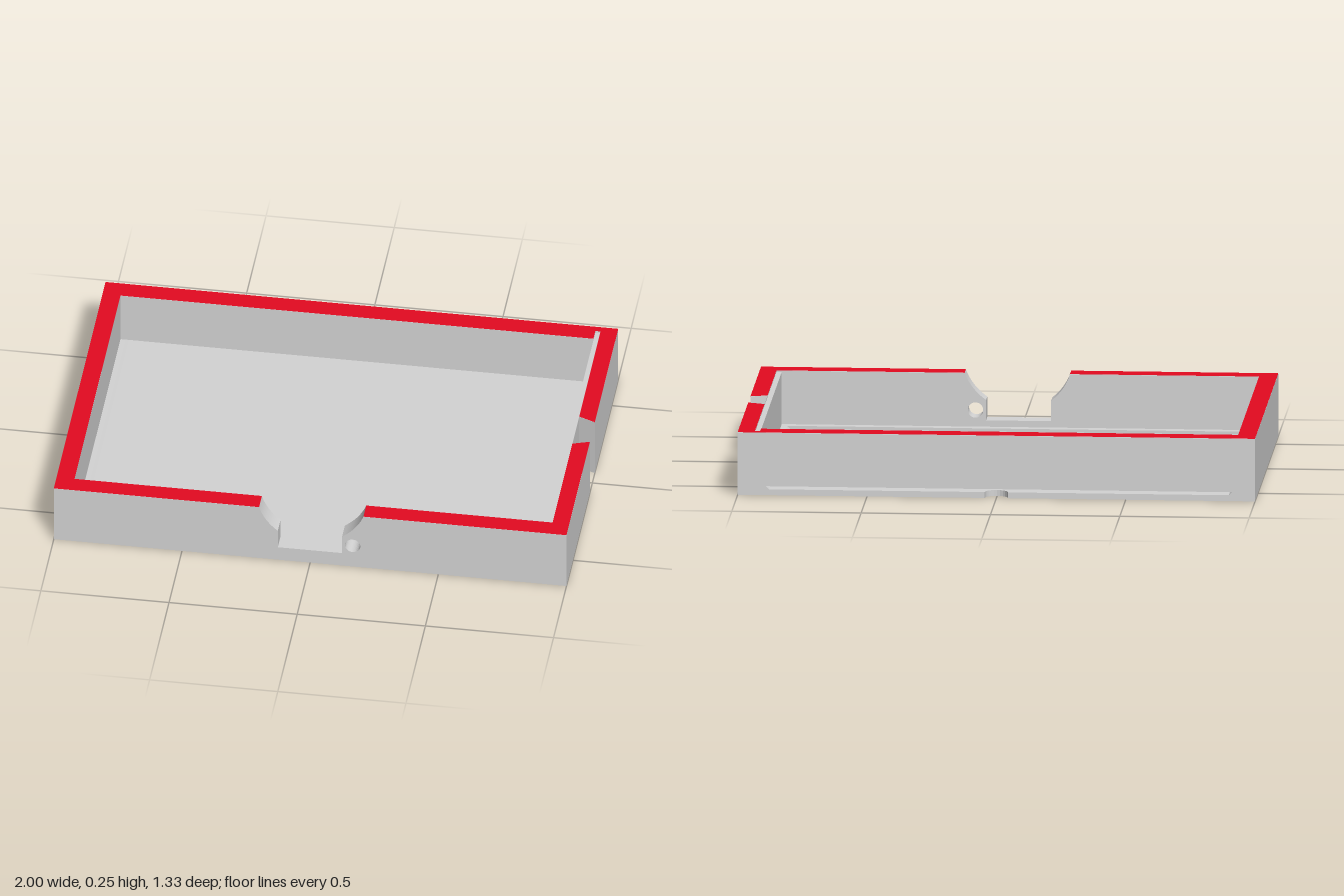
import * as THREE from 'three';

const H = 0.245;        // rim height
const X = 1, Z = 0.667; // outer half sizes
const FLOOR = 0.023, LEDGE = 0.035;
const FRONT = 0.595, BACK = -0.59, LEFT = -0.93, RIGHT = 0.935;

export function createModel() {
  const group = new THREE.Group();
  const grey = new THREE.MeshStandardMaterial({ color: 0xd4d4d4 });
  grey.name = 'grey';
  const red = new THREE.MeshStandardMaterial({ color: 0xe40a20 });
  red.name = 'red';

  const add = (name, geometry, material) => {
    const mesh = new THREE.Mesh(geometry, material);
    mesh.name = name;
    group.add(mesh);
    return mesh;
  };
  // Plan outline from [x, z] points
  const plan = (points) => new THREE.Shape(points.map(([x, z]) => new THREE.Vector2(x, -z)));
  // Plan outline raised from y0 to y1
  const slab = (name, shape, y0, y1) => {
    const g = new THREE.ExtrudeGeometry(shape, { depth: y1 - y0, bevelEnabled: false });
    add(name, g.rotateX(-Math.PI / 2).translate(0, y0, 0), grey);
  };
  // Flat red face on top of the rim
  const rim = (name, shape) =>
    add(name, new THREE.ShapeGeometry(shape).rotateX(-Math.PI / 2).translate(0, H + 0.0008, 0), red);

  // Flared opening through the side wall, listed front to back
  const sideGap = [[X, 0.063], [RIGHT, 0.085], [RIGHT, -0.09], [X, -0.063]];

  // Bottom sheet with a half-round thumb cut at the back
  const thumb = [];
  for (let i = 0; i <= 12; i++) {
    const a = Math.PI * i / 12;
    thumb.push([0.045 * Math.cos(a), -Z + 0.045 * Math.sin(a)]);
  }
  slab('bottom', plan([[-X, Z], [X, Z], ...sideGap, [X, -Z], ...thumb, [-X, -Z]]), 0, FLOOR);

  // Ledge around the shallow sliding slot, open to the back
  slab('ledge', plan([
    [-X, Z], [X, Z], ...sideGap, [X, -Z], [0.891, -Z],
    [0.891, 0.56], [-0.911, 0.56], [-0.911, -Z], [-X, -Z],
  ]), FLOOR, LEDGE);

  // Sloping runners along both sides of the slot
  for (const [name, x, dx] of [['runnerLeft', 0.891, -0.012], ['runnerRight', -0.911, 0.012]]) {
    const wedge = new THREE.Shape([
      new THREE.Vector2(x, FLOOR), new THREE.Vector2(x + dx, FLOOR), new THREE.Vector2(x, LEDGE),
    ]);
    add(name, new THREE.ExtrudeGeometry(wedge, {
      depth: Z + 0.56, bevelEnabled: false,
    }).translate(0, 0, -Z), grey);
  }

  // Left, back and right walls, with a groove in the back for the side panel
  const walls = plan([
    [X, FRONT], ...sideGap, [X, -Z], [-X, -Z], [-X, FRONT], [LEFT, FRONT], [LEFT, BACK],
    [0.915, BACK], [0.915, -0.64], [RIGHT, -0.64], [RIGHT, FRONT],
  ]);
  slab('walls', walls, LEDGE, H);
  rim('wallRim', walls);

  // Thin panel standing in the groove
  slab('sidePanel', plan([[0.915, FRONT], [RIGHT, FRONT], [RIGHT, -0.64], [0.915, -0.64]]), LEDGE, 0.24);

  // Front wall with curved cutout and round hole
  const front = new THREE.Shape();
  front.moveTo(-X, LEDGE);
  front.lineTo(X, LEDGE);
  front.lineTo(X, H);
  front.lineTo(0.208, H);
  front.quadraticCurveTo(0.182, 0.18, 0.125, 0.14);
  front.lineTo(0.125, 0.06);
  front.lineTo(-0.126, 0.06);
  front.lineTo(-0.126, 0.14);
  front.quadraticCurveTo(-0.178, 0.18, -0.199, H);
  front.lineTo(-X, H);
  const hole = new THREE.Path();
  hole.absarc(0.166, 0.1, 0.03, 0, Math.PI * 2, true);
  front.holes.push(hole);
  add('frontWall', new THREE.ExtrudeGeometry(front, {
    depth: Z - FRONT, bevelEnabled: false, curveSegments: 16,
  }).translate(0, 0, FRONT), grey);
  for (const [name, x0, x1] of [['frontRimRight', -X, -0.199], ['frontRimLeft', 0.208, X]]) {
    rim(name, plan([[x0, Z], [x1, Z], [x1, FRONT], [x0, FRONT]]));
  }

  // Small marks under the front corners
  for (const x of [-0.905, 0.875]) {
    const mark = add('cornerMark', new THREE.CircleGeometry(0.014, 12).rotateX(Math.PI / 2), red);
    mark.position.set(x, -0.0008, 0.59);
  }
  return group;
}
